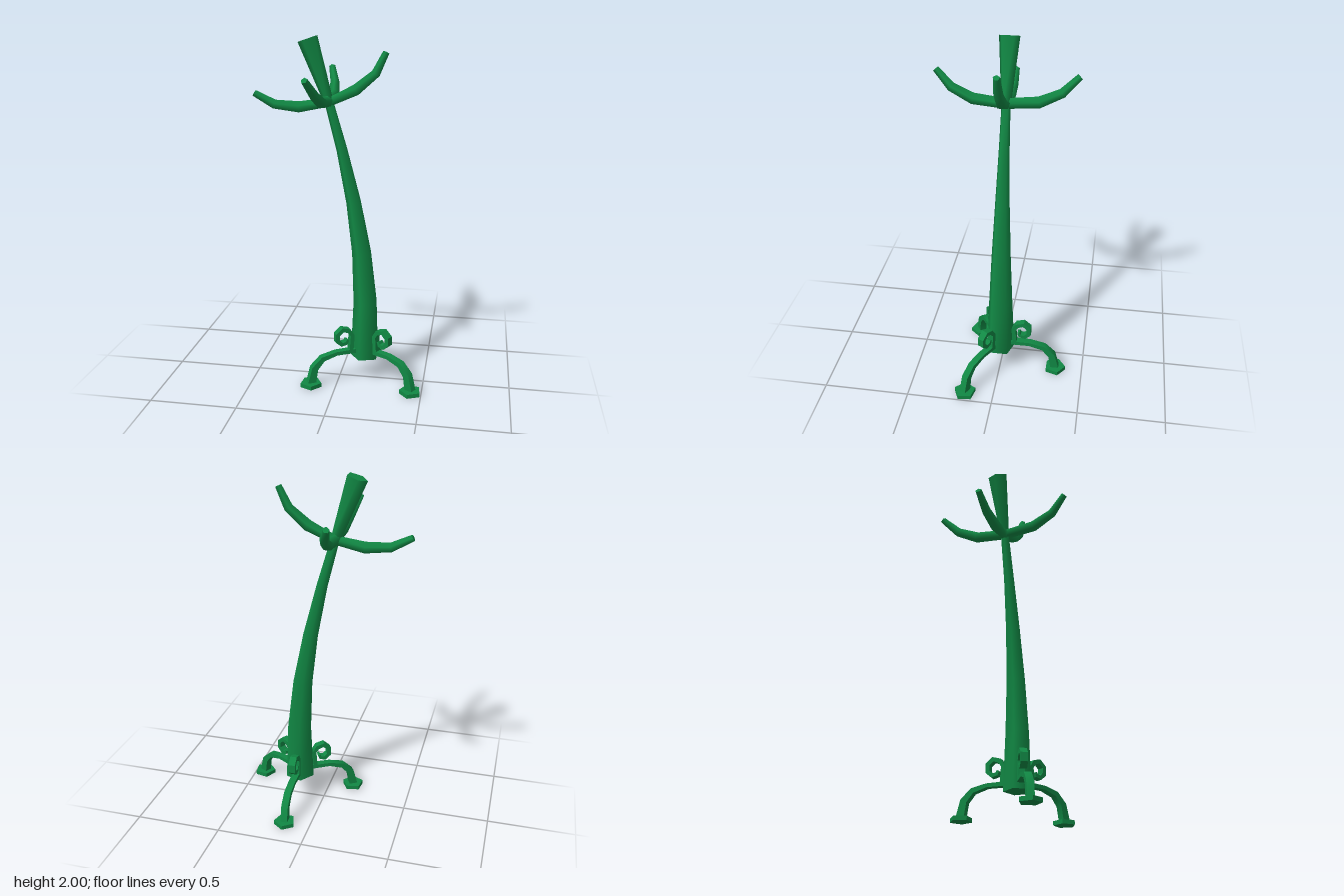
import * as THREE from 'three';
import { toCreasedNormals } from 'three/addons/utils/BufferGeometryUtils.js';

const SIDES = 5;
const green = new THREE.MeshStandardMaterial({ color: 0x118844 });

function add(parent, name, geometry) {
  const mesh = new THREE.Mesh(geometry, green);
  mesh.name = name;
  parent.add(mesh);
  return mesh;
}

// Five-sided tapered limb through rows of [x, y, z, radius], capped at both ends.
// "side" is the horizontal direction across the limb.
function limb(rows, side) {
  const centers = rows.map(([x, y, z]) => new THREE.Vector3(x, y, z));
  const positions = [];
  const index = [];
  const last = rows.length - 1;
  centers.forEach((c, i) => {
    const tangent = centers[Math.min(i + 1, last)].clone().sub(centers[Math.max(i - 1, 0)]).normalize();
    const u = side.clone().cross(tangent).normalize();
    const v = tangent.clone().cross(u);
    for (let j = 0; j < SIDES; j++) {
      const a = (j / SIDES) * Math.PI * 2;
      const p = c.clone()
        .addScaledVector(u, Math.cos(a) * rows[i][3])
        .addScaledVector(v, Math.sin(a) * rows[i][3]);
      positions.push(p.x, p.y, p.z);
    }
  });
  for (let i = 0; i < last; i++) {
    for (let j = 0; j < SIDES; j++) {
      const a = i * SIDES + j;
      const b = i * SIDES + ((j + 1) % SIDES);
      index.push(a, b, b + SIDES, a, b + SIDES, a + SIDES);
    }
  }
  const top = last * SIDES;
  for (let j = 1; j < SIDES - 1; j++) {
    index.push(0, j + 1, j, top, top + j, top + j + 1);
  }
  const geometry = new THREE.BufferGeometry();
  geometry.setAttribute('position', new THREE.Float32BufferAttribute(positions, 3));
  geometry.setIndex(index);
  return toCreasedNormals(geometry, 1.4);
}

// Flat bar bent along rows of [x, y, thickness], extruded to a width
function bentBar(rows, width) {
  const outer = [];
  const inner = [];
  const last = rows.length - 1;
  rows.forEach(([x, y, t], i) => {
    const a = rows[Math.max(i - 1, 0)];
    const b = rows[Math.min(i + 1, last)];
    const n = new THREE.Vector2(a[1] - b[1], b[0] - a[0]).normalize().multiplyScalar(t / 2);
    outer.push(new THREE.Vector2(x + n.x, y + n.y));
    inner.unshift(new THREE.Vector2(x - n.x, y - n.y));
  });
  const shape = new THREE.Shape([...outer, ...inner]);
  const geometry = new THREE.ExtrudeGeometry(shape, { depth: width, bevelEnabled: false });
  geometry.translate(0, 0, -width / 2);
  return toCreasedNormals(geometry, 0.7);
}

export function createModel() {
  const model = new THREE.Group();
  model.name = 'coatStand';
  const acrossZ = new THREE.Vector3(0, 0, 1);

  // Leaning trunk, narrowing to the neck and flaring into the top knob
  add(model, 'trunk', limb([
    [0.152, 0.14, 0, 0.086],
    [0.152, 0.48, 0, 0.072],
    [0.128, 0.78, 0, 0.058],
    [0.079, 1.08, 0, 0.044],
    [0.011, 1.38, 0, 0.032],
    [-0.058, 1.63, 0, 0.026],
  ], acrossZ));
  add(model, 'topKnob', limb([
    [-0.055, 1.62, 0, 0.026],
    [-0.178, 1.983, 0, 0.06],
  ], acrossZ));

  // Upcurved arms
  add(model, 'leftArm', limb([
    [-0.06, 1.64, 0, 0.026],
    [0.09, 1.71, 0, 0.033],
    [0.197, 1.8, 0, 0.027],
    [0.252, 1.915, 0, 0.019],
  ], acrossZ));
  add(model, 'rightArm', limb([
    [-0.06, 1.64, 0, 0.026],
    [-0.23, 1.61, 0, 0.033],
    [-0.37, 1.622, 0, 0.027],
    [-0.485, 1.682, 0, 0.019],
  ], acrossZ.clone().negate()));
  for (const s of [1, -1]) {
    add(model, s > 0 ? 'frontArm' : 'backArm', limb([
      [-0.065, 1.645, 0, 0.03],
      [-0.068, 1.662, s * 0.18, 0.033],
      [-0.083, 1.715, s * 0.3, 0.027],
      [-0.115, 1.8, s * 0.388, 0.019],
    ], new THREE.Vector3(-s, 0, 0)));
  }

  // Three legs, each with a foot pad and a scroll rising beside the trunk
  const legBar = bentBar([
    [0.04, 0.185, 0.025],
    [0.18, 0.185, 0.022],
    [0.265, 0.163, 0.03],
    [0.315, 0.11, 0.04],
    [0.335, 0.02, 0.048],
  ], 0.04);
  const scrollBar = bentBar([
    [0.09, 0.18, 0.024],
    [0.082, 0.285, 0.024],
    [0.104, 0.317, 0.026],
    [0.142, 0.328, 0.026],
    [0.174, 0.3, 0.026],
    [0.174, 0.26, 0.026],
    [0.148, 0.237, 0.024],
    [0.12, 0.243, 0.02],
    [0.112, 0.262, 0.014],
  ], 0.04);
  const pad = new THREE.CylinderGeometry(0.064, 0.064, 0.024, SIDES).toNonIndexed();
  pad.rotateY(Math.PI / 2);
  pad.translate(0.336, 0.012, 0);
  pad.computeVertexNormals();

  ['backLeg', 'rightLeg', 'leftLeg'].forEach((name, i) => {
    const leg = new THREE.Group();
    leg.name = name;
    leg.position.x = 0.147;
    leg.rotation.y = Math.PI / 2 + (i * Math.PI * 2) / 3;
    add(leg, 'legBar', legBar);
    add(leg, 'scroll', scrollBar);
    add(leg, 'footPad', pad);
    model.add(leg);
  });

  return model;
}
